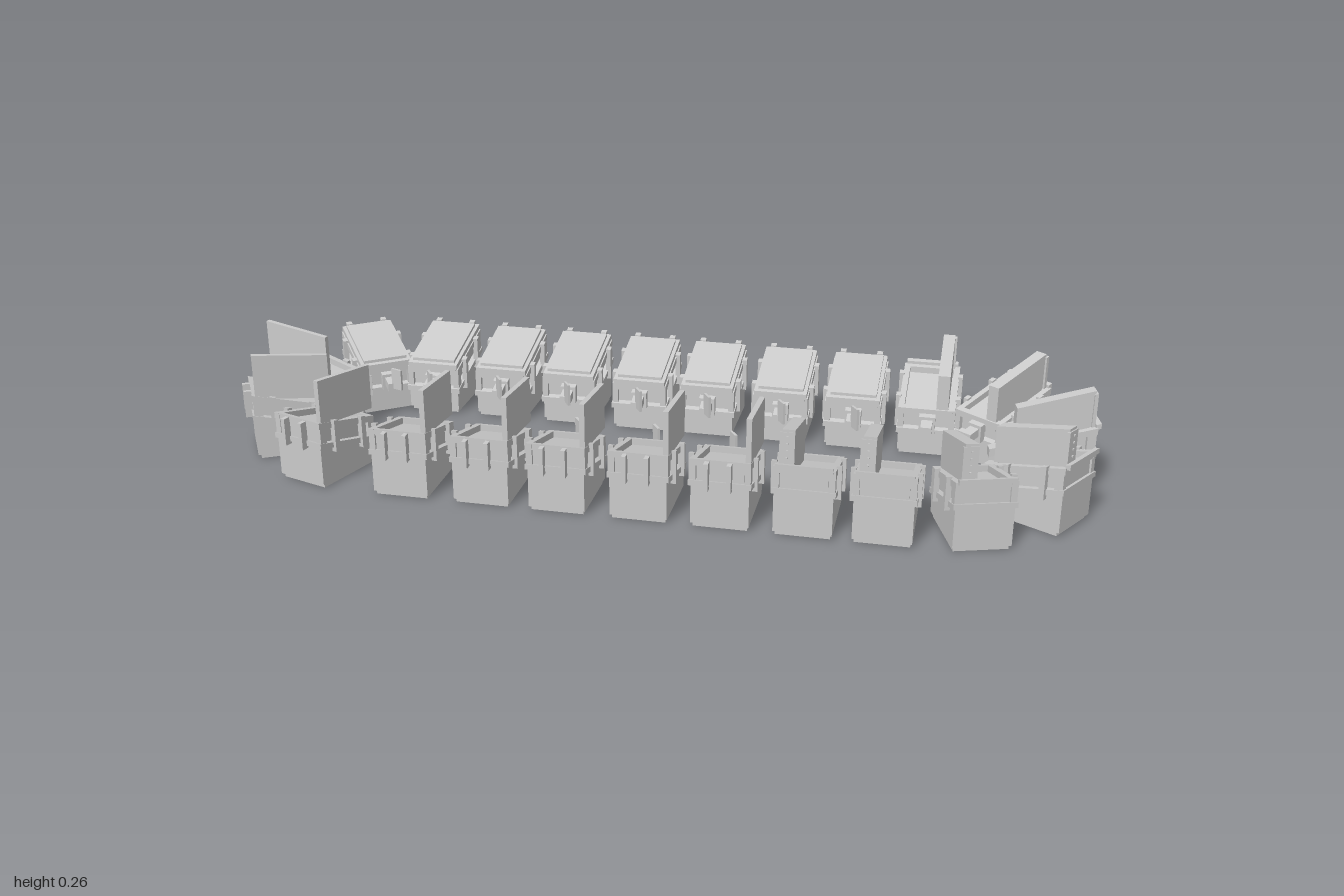
import * as THREE from 'three';

const material = new THREE.MeshStandardMaterial({ color: 0xcccccc, flatShading: true });
const SLOPE = 0.25; // tops fall away towards the inside of the ring
const OUTER = 0.09; // local z of the outer face

// Box given by its ranges; vertices above the floor limit are sheared by the slope.
function slab(parent, name, [x0, x1], [y0, y1], [z0, z1], slope = SLOPE, floor = -1) {
  const g = new THREE.BoxGeometry(x1 - x0, y1 - y0, z1 - z0);
  g.translate((x0 + x1) / 2, (y0 + y1) / 2, (z0 + z1) / 2);
  const p = g.attributes.position;
  for (let i = 0; i < p.count; i++) {
    if (p.getY(i) > floor) p.setY(i, p.getY(i) + (p.getZ(i) - OUTER) * slope);
  }
  g.computeVertexNormals();
  const m = new THREE.Mesh(g, material);
  m.name = name;
  parent.add(m);
  return m;
}

// One cabinet; lid is 'closed', 'thin' (open on its +x side) or 'thick' (open near its -x side).
function makeUnit(lid) {
  const u = new THREE.Group();
  u.name = 'unit';

  // Plinth, wedge body and projecting rim
  slab(u, 'plinth', [-0.06, 0.06], [0, 0.012], [-0.083, 0.083], 0);
  slab(u, 'body', [-0.064, 0.064], [0.01, 0.104], [-0.09, 0.09], SLOPE, 0.05);
  slab(u, 'rim', [-0.069, 0.069], [0.1, 0.113], [-0.094, 0.094]);

  // Recessed upper box with a frame above it
  slab(u, 'upperBox', [-0.055, 0.055], [0.11, 0.148], [-0.08, 0.08]);
  for (const s of [-1, 1]) {
    const x = [s * 0.06 - 0.007, s * 0.06 + 0.007];
    slab(u, 'sideRail', x, [0.148, 0.163], [-0.09, 0.092]);
    for (const z of [-0.08, 0.08]) {
      slab(u, 'cornerPost', x, [0.11, 0.15], [z - 0.01, z + 0.01]);
    }
    for (const z of [-0.045, 0.045]) {
      slab(u, 'sideLatch', [s * 0.07 - 0.006, s * 0.07 + 0.006], [0.09, 0.168], [z - 0.007, z + 0.007]);
    }
    slab(u, 'endRail', [-0.06, 0.06], [0.148, 0.163], [s * 0.084 - 0.007, s * 0.084 + 0.007]);
  }
  slab(u, 'outerPanel', [-0.052, 0.052], [0.113, 0.147], [0.08, 0.086]);

  // Arm on the inner end, with a bent tip
  slab(u, 'arm', [-0.016, 0.01], [0.125, 0.145], [-0.135, -0.08]);
  slab(u, 'armBracket', [-0.022, 0.016], [0.11, 0.152], [-0.105, -0.09]);
  if (lid !== 'thick') {
    const tip = slab(u, 'armTip', [-0.003, 0.003], [0.115, 0.168], [-0.03, 0], 0);
    tip.position.set(-0.003, -0.04, -0.13);
    tip.rotation.y = 0.6;
  }

  if (lid === 'closed') {
    slab(u, 'lid', [-0.064, 0.064], [0.163, 0.175], [-0.092, 0.094]);
    slab(u, 'lidTop', [-0.055, 0.055], [0.174, 0.182], [-0.082, 0.084]);
    for (const x of [-0.045, 0.045]) {
      slab(u, 'lidClasp', [x - 0.007, x + 0.007], [0.145, 0.182], [0.088, 0.1]);
    }
  } else if (lid === 'thin') {
    slab(u, 'openLid', [0.054, 0.066], [0.155, 0.263], [-0.088, 0.084], 0.1);
    // Upright handles on the outer face
    for (const x of [-0.028, 0.022]) {
      slab(u, 'handle', [x - 0.005, x + 0.005], [0.095, 0.16], [0.09, 0.108], 0);
    }
  } else {
    slab(u, 'openLid', [-0.05, -0.022], [0.14, 0.248], [-0.088, 0.084]);
    slab(u, 'lidLip', [-0.055, -0.022], [0.155, 0.242], [0.08, 0.088]);
    // Small rivets down the outer edge of the lid
    for (let i = 0; i < 5; i++) {
      const y = 0.165 + i * 0.016;
      slab(u, 'rivet', [-0.04, -0.036], [y, y + 0.004], [0.087, 0.091], 0);
    }
    slab(u, 'outerBar', [-0.062, 0.062], [0.158, 0.17], [0.088, 0.1]);
  }
  return u;
}

export function createModel() {
  const model = new THREE.Group();
  model.name = 'cabinetRing';
  const place = (x, z, degrees, lid) => {
    const u = makeUnit(lid);
    u.position.set(x, 0, z);
    u.rotation.y = THREE.MathUtils.degToRad(degrees);
    model.add(u);
  };

  // Straight front row
  [-0.52, -0.33, -0.155, 0.03, 0.21, 0.39, 0.56].forEach((x, i) =>
    place(x, 0.237, 0, i < 5 ? 'thin' : 'thick'));

  // Straight back row
  [-0.62, -0.44, -0.265, -0.085, 0.085, 0.265, 0.44, 0.615].forEach((x, i) =>
    place(x, -0.258, 180, i < 7 ? 'closed' : 'thick'));

  // Units round the two ends: x, z and turn, mirrored
  const ends = [[0.74, 0.22, 18], [0.88, 0.105, 60], [0.896, -0.075, 102], [0.79, -0.22, 143]];
  ends.forEach(([x, z, turn], i) => {
    place(x, z, turn, 'thick');
    place(-x, z, -turn, i < 3 ? 'thin' : 'closed');
  });
  return model;
}
